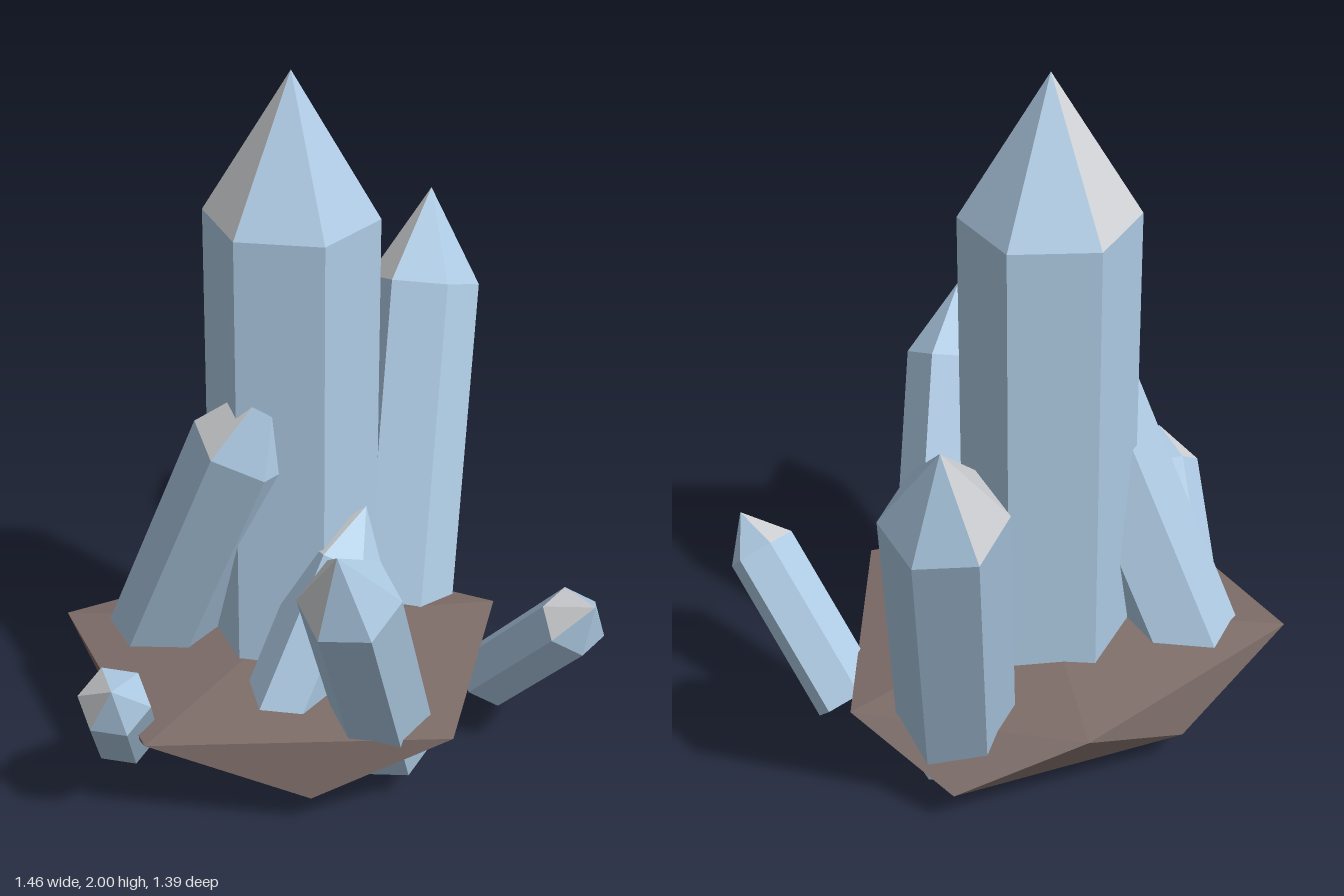
import * as THREE from 'three';

const paint = (name, color) => {
  const m = new THREE.MeshStandardMaterial({ color });
  m.name = name;
  return m;
};

// Separate the corners so every facet is flat
const facet = (geometry) => {
  const g = geometry.index ? geometry.toNonIndexed() : geometry;
  g.computeVertexNormals();
  return g;
};

const UP = new THREE.Vector3(0, 1, 0);

// Six-sided crystal from the foot to the shoulder, with a pointed tip
function crystal(name, [foot, shoulder, radius, tipLength], blue, white) {
  const a = new THREE.Vector3(...foot);
  const axis = new THREE.Vector3(...shoulder).sub(a);
  const length = axis.length();

  const group = new THREE.Group();
  group.name = name;
  group.position.copy(a);
  group.quaternion.setFromUnitVectors(UP, axis.normalize());

  const shaftGeo = new THREE.CylinderGeometry(radius, radius, length, 6);
  shaftGeo.translate(0, length / 2, 0);
  const shaft = new THREE.Mesh(facet(shaftGeo), blue);
  shaft.name = 'crystalShaft';

  const tipGeo = facet(new THREE.ConeGeometry(radius, tipLength, 6, 1, true));
  tipGeo.translate(0, length + tipLength / 2, 0);
  // Two neighbouring tip facets are pale
  tipGeo.clearGroups();
  tipGeo.addGroup(0, 9, 0);
  tipGeo.addGroup(9, 6, 1);
  tipGeo.addGroup(15, 3, 0);
  const tip = new THREE.Mesh(tipGeo, [blue, white]);
  tip.name = 'crystalTip';

  group.add(shaft, tip);
  return group;
}

// Rough rock: two staggered rings of five corners between two poles
function rock(material) {
  const top = [0, 0.35, -0.11];
  const bottom = [0, 0, -0.11];
  const rim = [
    [-0.575, 0.28, -0.47], [0.17, 0.26, -0.58], [0.64, 0.25, -0.11],
    [0.225, 0.26, 0.505], [-0.575, 0.28, 0.255],
  ];
  const low = [
    [-0.17, 0.11, -0.545], [0.5, 0.11, -0.42], [0.45, 0.1, 0.1],
    [-0.15, 0.09, 0.4], [-0.52, 0.1, -0.1],
  ];
  const corners = [];
  for (let i = 0; i < 5; i++) {
    const j = (i + 1) % 5;
    corners.push(top, rim[j], rim[i]);
    corners.push(rim[i], rim[j], low[i]);
    corners.push(low[i], rim[j], low[j]);
    corners.push(low[i], low[j], bottom);
  }
  const g = new THREE.BufferGeometry();
  g.setAttribute('position', new THREE.Float32BufferAttribute(corners.flat(), 3));
  const mesh = new THREE.Mesh(facet(g), material);
  mesh.name = 'rockBase';
  return mesh;
}

export function createModel() {
  const blue = paint('crystalBlue', 0xaecbe4);
  const white = paint('paleFacet', 0xd2d4d7);
  const brown = paint('rockBrown', 0x7d6c68);

  const model = new THREE.Group();
  model.name = 'crystalCluster';
  model.add(rock(brown));

  // Foot, shoulder, radius, tip length
  const crystals = {
    mainCrystal: [[-0.005, 0.15, -0.11], [-0.005, 1.6, -0.11], 0.24, 0.4],
    tallBackCrystal: [[0.373, 0.14, -0.228], [0.585, 1.13, -0.545], 0.163, 0.273],
    frontCrystal: [[0.134, 0.14, 0.27], [-0.11, 0.81, 0.56], 0.138, 0.215],
    leaningBackCrystal: [[-0.37, 0.14, -0.34], [-0.16, 0.98, -0.047], 0.155, 0.25],
    innerCrystal: [[-0.2, 0.14, 0.19], [0.07, 0.645, 0.1], 0.115, 0.155],
    smallRightCrystal: [[-0.545, 0.13, -0.04], [-0.645, 0.42, 0.22], 0.1, 0.12],
    smallLeftCrystal: [[0.545, 0.13, 0.075], [0.63, 0.485, 0.405], 0.1, 0.12],
  };
  for (const [name, spec] of Object.entries(crystals)) {
    model.add(crystal(name, spec, blue, white));
  }
  return model;
}
